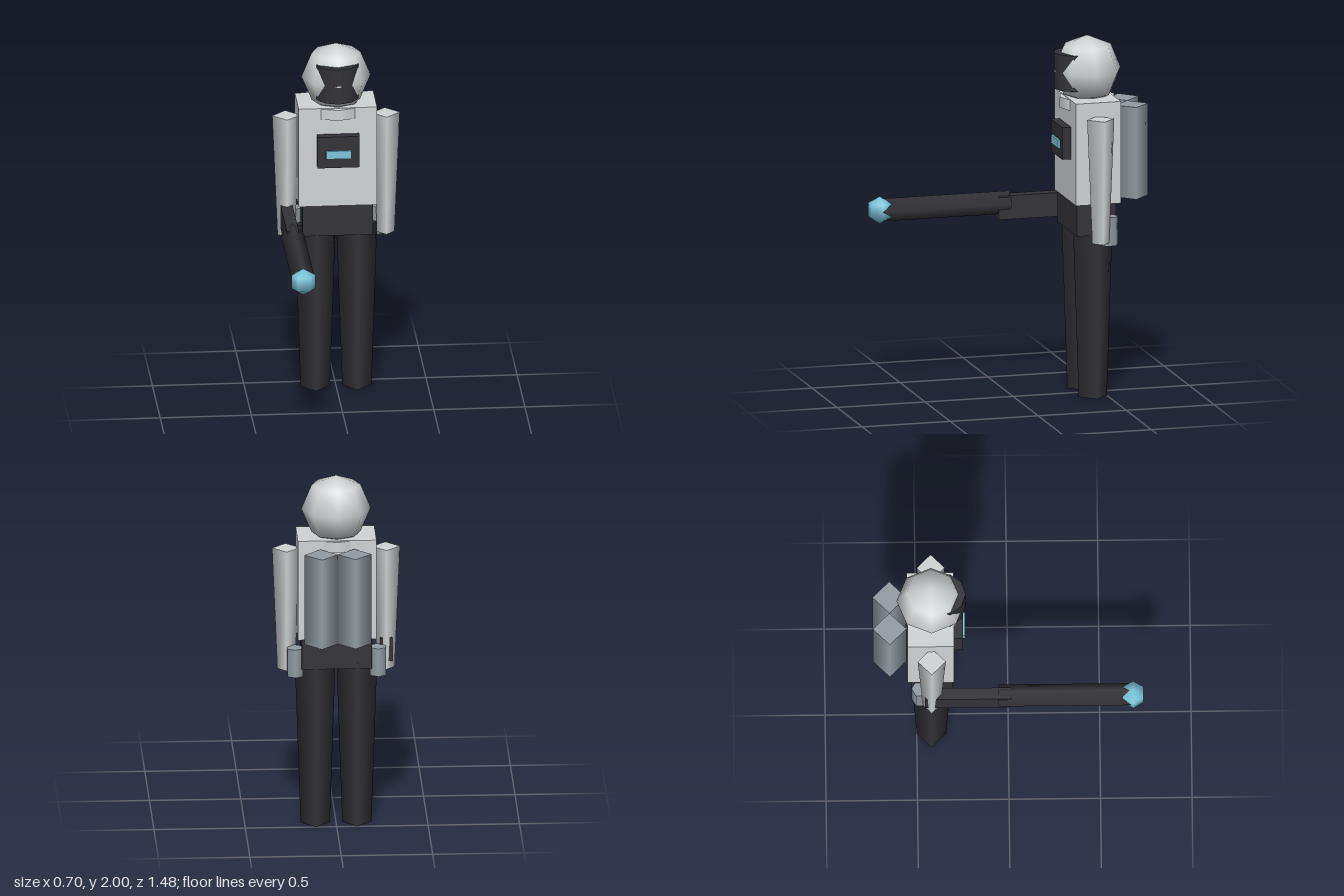
import * as THREE from 'three';

export function createModel() {
  const group = new THREE.Group();
  const material = (name, color) => {
    const m = new THREE.MeshStandardMaterial({ color });
    m.name = name;
    return m;
  };
  const shell = material('light grey', 0xd0d4d5);
  const dark = material('charcoal', 0x333238);
  const steel = material('steel grey', 0x929ca3);
  const glow = material('light blue', 0x7cc6dc);

  const add = (name, geometry, mat, x, y, z) => {
    const mesh = new THREE.Mesh(geometry, mat);
    mesh.name = name;
    mesh.position.set(x, y, z);
    group.add(mesh);
    return mesh;
  };
  const box = (w, h, d) => new THREE.BoxGeometry(w, h, d);
  const post = (top, bottom, h, sides) => new THREE.CylinderGeometry(top, bottom, h, sides);
  const bodyZ = -0.42;

  // Head, visor and collar
  add('head', new THREE.SphereGeometry(0.19, 8, 4), shell, 0, 1.81, bodyZ);
  add('visor', post(0.12, 0.12, 0.2, 10), dark, 0, 1.81, -0.352);
  add('collar', post(0.155, 0.155, 0.06, 10), shell, 0, 1.632, bodyZ);

  // Torso, chest panel and pelvis
  add('torso', box(0.43, 0.57, 0.255), shell, 0, 1.38, -0.424);
  add('chestPanel', box(0.23, 0.18, 0.08), dark, 0, 1.425, -0.287);
  add('chestLight', box(0.138, 0.046, 0.02), glow, 0, 1.413, -0.246);
  add('pelvis', box(0.385, 0.18, 0.222), dark, 0, 1.008, -0.418);

  // Paired limbs, hip pouches and back tanks
  for (const [side, s] of [['left', 1], ['right', -1]]) {
    add(side + 'Leg', post(0.112, 0.08, 0.95, 4), dark, s * 0.114, 0.475, bodyZ);
    add(side + 'Arm', post(0.077, 0.048, 0.695, 4), shell, s * 0.273, 1.238, bodyZ);
    add(side + 'Pouch', post(0.05, 0.05, 0.16, 6), steel, s * 0.227, 0.95, -0.48);
    add(side + 'BackTank', post(0.092, 0.092, 0.515, 4), steel, s * 0.092, 1.36, -0.648);
  }

  // Handheld emitter pointing forward from the right hand
  add('emitterGrip', box(0.066, 0.133, 0.47), dark, -0.273, 1.003, -0.222);
  const barrel = add('emitterBarrel', post(0.064, 0.064, 0.735, 4), dark, -0.27, 1.027, 0.313);
  barrel.rotation.x = Math.PI / 2;
  add('emitterTip', new THREE.SphereGeometry(0.076, 6, 3), glow, -0.273, 1.027, 0.68);

  return group;
}
